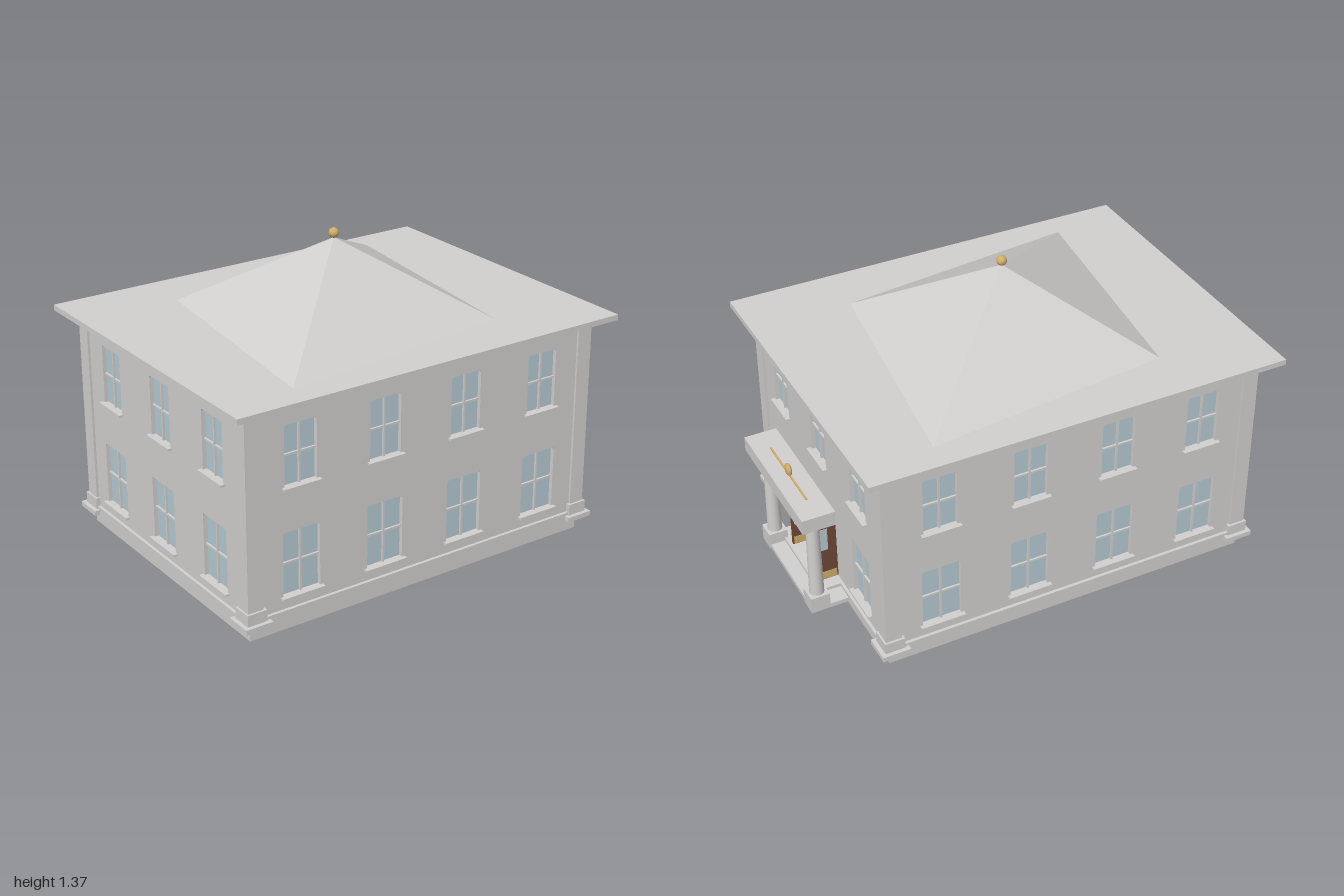
import * as THREE from 'three';

const mat = (name, color, side = THREE.FrontSide) => {
  const m = new THREE.MeshStandardMaterial({ color, side });
  m.name = name;
  return m;
};

export function createModel() {
  const stone = mat('stone', 0xd2d0ce);
  const glass = mat('glass', 0xb6cad3, THREE.DoubleSide);
  const wood = mat('wood', 0x6e4837);
  const brass = mat('brass', 0xd0ad6b);

  const model = new THREE.Group();
  model.name = 'house';
  const building = new THREE.Group();
  building.name = 'building';
  building.position.x = -0.0625;
  model.add(building);

  const add = (parent, name, geo, material, x = 0, y = 0, z = 0) => {
    const m = new THREE.Mesh(geo, material);
    m.name = name;
    m.position.set(x, y, z);
    parent.add(m);
    return m;
  };
  // Box given by its limits on each axis
  const box = (parent, name, material, x0, x1, y0, y1, z0, z1) =>
    add(parent, name, new THREE.BoxGeometry(x1 - x0, y1 - y0, z1 - z0), material,
      (x0 + x1) / 2, (y0 + y1) / 2, (z0 + z1) / 2);

  // Foundation, floor course and flat eaves
  box(building, 'foundation', stone, -0.843, 0.843, 0, 0.067, -0.635, 0.635);
  box(building, 'floorCourse', stone, -0.865, 0.865, 0.066, 0.1, -0.66, 0.66);
  box(building, 'eaves', stone, -0.9375, 0.9375, 0.985, 1.01, -0.733, 0.733);

  // Corner pilasters with stepped bases
  for (const sx of [-1, 1]) for (const sz of [-1, 1]) {
    const corner = new THREE.Group();
    corner.name = 'cornerPilaster';
    building.add(corner);
    const post = (name, outX, outZ, w, y0, y1) => add(corner, name,
      new THREE.BoxGeometry(w, y1 - y0, w), stone,
      sx * (outX - w / 2), (y0 + y1) / 2, sz * (outZ - w / 2));
    post('pilasterFoot', 0.889, 0.684, 0.125, 0.065, 0.087);
    post('pilasterBase', 0.871, 0.666, 0.09, 0.087, 0.137);
    post('pilasterShaft', 0.8625, 0.656, 0.07, 0.137, 0.985);
  }

  // Window opening with slightly clipped upper corners
  const opening = (x, y0, y1, w, clip) => {
    const h = w / 2, p = new THREE.Path();
    p.moveTo(x - h, y0);
    p.lineTo(x - h, y1 - clip);
    p.quadraticCurveTo(x - h, y1, x - h + clip, y1);
    p.lineTo(x + h - clip, y1);
    p.quadraticCurveTo(x + h, y1, x + h, y1 - clip);
    p.lineTo(x + h, y0);
    p.closePath();
    return p;
  };

  const rows = [
    { y0: 0.155, y1: 0.433, w: 0.174 },
    { y0: 0.628, y1: 0.888, w: 0.15 },
  ];

  // One wall: pierced slab, recessed panes, glazing bars and sills
  const makeWall = (name, half, columns, angle, x, z, hasDoor) => {
    const wall = new THREE.Group();
    wall.name = name;
    wall.position.set(x, 0, z);
    wall.rotation.y = angle;
    building.add(wall);
    const shape = new THREE.Shape();
    shape.moveTo(-half, 0.067);
    shape.lineTo(half, 0.067);
    shape.lineTo(half, 0.985);
    shape.lineTo(-half, 0.985);
    shape.closePath();
    for (const c of columns) rows.forEach(({ y0, y1, w }, row) => {
      if (hasDoor && row === 0 && c === 0) {
        shape.holes.push(opening(0, 0.1, 0.412, 0.28, 0.004));
        return;
      }
      shape.holes.push(opening(c, y0, y1, w, 0.01));
      const h = w / 2, mid = (y0 + y1) / 2;
      box(wall, 'windowPane', glass, c - h, c + h, y0, y1, -0.024, -0.018);
      box(wall, 'uprightBar', stone, c - 0.004, c + 0.004, y0, y1, -0.02, -0.008);
      box(wall, 'crossBar', stone, c - h, c + h, mid - 0.004, mid + 0.004, -0.02, -0.009);
      box(wall, 'sill', stone, c - h - 0.013, c + h + 0.013, y0 - 0.01, y0, -0.01, 0.02);
    });
    add(wall, 'wallSlab', new THREE.ExtrudeGeometry(shape,
      { depth: 0.03, bevelEnabled: false, curveSegments: 3 }), stone, 0, 0, -0.03);
  };
  const long = [-1.5, -0.5, 0.5, 1.5].map(k => k * 0.403);
  const short = [-0.403, 0, 0.403];
  makeWall('frontWall', 0.85, long, 0, 0, 0.646);
  makeWall('backWall', 0.85, long, Math.PI, 0, -0.646);
  makeWall('leftWall', 0.646, short, Math.PI / 2, 0.852, 0, true);
  makeWall('rightWall', 0.646, short, -Math.PI / 2, -0.852, 0);

  // Skewed pyramid roof: two opposite corners reach further out
  const apex = [0, 1.33, 0];
  const ring = [[-0.67, 0.98, 0.67], [0.505, 0.995, 0.505], [0.67, 0.98, -0.67], [-0.505, 0.995, -0.505]];
  const roofPoints = [];
  ring.forEach((p, i) => roofPoints.push(...apex, ...p, ...ring[(i + 1) % 4]));
  roofPoints.push(...ring[0], ...ring[2], ...ring[1], ...ring[0], ...ring[3], ...ring[2]);
  const roof = new THREE.BufferGeometry();
  roof.setAttribute('position', new THREE.Float32BufferAttribute(roofPoints, 3));
  roof.computeVertexNormals();
  add(building, 'roof', roof, stone);
  add(building, 'roofBall', new THREE.SphereGeometry(0.022, 20, 14), brass, 0, 1.35, 0);

  // Porch platform, lintel and brass sign plate
  const porch = new THREE.Group();
  porch.name = 'porch';
  model.add(porch);
  box(porch, 'porchSlab', stone, 0.77, 0.965, 0.065, 0.085, -0.278, 0.278);
  box(porch, 'porchStep', stone, 0.77, 0.9, 0.085, 0.1, -0.195, 0.195);
  box(porch, 'lintel', stone, 0.855, 1, 0.53, 0.597, -0.32, 0.32);
  box(porch, 'brassPlate', brass, 0.924, 0.932, 0.51, 0.602, -0.197, 0.197);
  add(porch, 'brassMedallion', new THREE.SphereGeometry(0.028, 20, 14), brass, 0.927, 0.618, 0)
    .scale.x = 0.45;

  for (const s of [-1, 1]) {
    // Porch columns
    const z = s * 0.236;
    box(porch, 'columnPedestal', stone, 0.885, 0.97, 0.065, 0.14, z - 0.042, z + 0.042);
    add(porch, 'columnShaft', new THREE.CylinderGeometry(0.028, 0.032, 0.36, 28), stone, 0.927, 0.32, z);
    box(porch, 'columnCapital', stone, 0.887, 0.967, 0.5, 0.53, z - 0.042, z + 0.042);

    // Open door leaves with pane, kick plate and knob
    const door = new THREE.Group();
    door.name = 'doorLeaf';
    door.position.set(0.79, 0, s * 0.137);
    model.add(door);
    box(door, 'doorPanel', wood, 0, 0.095, 0.105, 0.41, -0.007, 0.007);
    box(door, 'doorPane', glass, 0.04, 0.082, 0.262, 0.372, -0.009, 0.009);
    box(door, 'kickPlate', brass, 0.006, 0.09, 0.108, 0.145, -0.009, 0.009);
    for (const k of [-1, 1])
      add(door, 'doorKnob', new THREE.SphereGeometry(0.007, 12, 8), brass, 0.08, 0.222, k * 0.013);

    // Hall chairs
    const chair = new THREE.Group();
    chair.name = 'chair';
    chair.position.set(0.45, 0, s * 0.11);
    model.add(chair);
    box(chair, 'chairSeat', wood, -0.02, 0.02, 0.12, 0.126, -0.014, 0.014);
    box(chair, 'chairBack', wood, -0.02, 0.02, 0.12, 0.16, s > 0 ? -0.014 : 0.008, s > 0 ? -0.008 : 0.014);
    for (const lx of [-0.017, 0.017]) for (const lz of [-0.011, 0.011])
      box(chair, 'chairLeg', wood, lx - 0.003, lx + 0.003, 0.1, 0.12, lz - 0.003, lz + 0.003);
  }

  // Hall desk with a brass tiered stand
  box(model, 'desk', wood, 0.4, 0.46, 0.1, 0.155, -0.03, 0.03);
  add(model, 'standStem', new THREE.CylinderGeometry(0.003, 0.003, 0.05, 10), brass, 0.43, 0.18, 0);
  [[0.022, 0.175], [0.015, 0.192]].forEach(([r, y]) =>
    add(model, 'standTier', new THREE.CylinderGeometry(r, r * 0.7, 0.005, 16), brass, 0.43, y, 0));

  return model;
}
